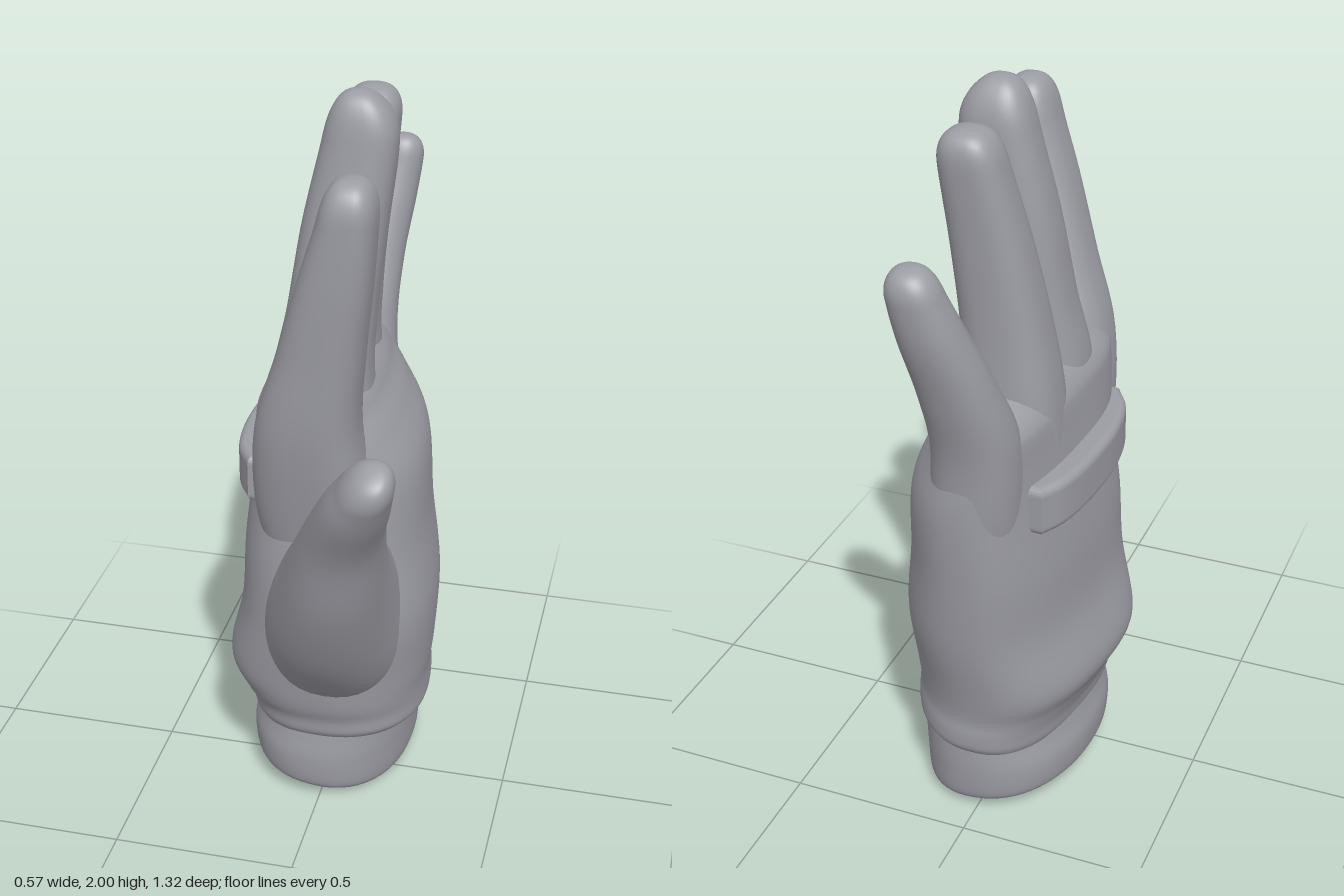
import * as THREE from 'three';

const fabric = new THREE.MeshStandardMaterial({ color: 0x9c9ca4 });
fabric.name = 'grey fabric';

const superCos = (v, n) => Math.sign(v) * Math.abs(v) ** (2 / n);

// Smooth value between control rings (Catmull-Rom on each column)
function sample(rings, u) {
  const last = rings.length - 1;
  const i = Math.min(Math.floor(u), last - 1), t = u - i;
  const p0 = rings[Math.max(i - 1, 0)], p1 = rings[i], p2 = rings[i + 1], p3 = rings[Math.min(i + 2, last)];
  return p1.map((b, k) => {
    const a = p0[k], c = p2[k], d = p3[k];
    return 0.5 * (2 * b + (c - a) * t + (2 * a - 5 * b + 4 * c - d) * t * t + (3 * b - a - 3 * c + d) * t ** 3);
  });
}

// Loft through rings [x, y, z, halfDepthX, halfWidthZ, tilt]; the last span is rounded to a tip.
// taper thins each ring towards -z, shear and bow push its two edges along x.
function loft(name, rings, { power = 2.2, sides = 40, steps = 52, dome = true, taper = 0, shear = 0, bow = 0 } = {}) {
  const last = rings.length - 1;
  const sections = [[rings[0], 0], [rings[0], 1]];
  for (let s = 0; s <= steps; s++) {
    const u = last * (1 - (1 - s / steps) ** 1.7);
    const e = Math.max(0, u - last + 1);
    sections.push([sample(rings, u), dome ? Math.sqrt(Math.max(0, 1 - e * e)) : 1]);
  }
  const pos = [], idx = [];
  sections.forEach(([[x, y, z, a, b, tilt], k], i) => {
    for (let j = 0; j < sides; j++) {
      const th = (j / sides) * Math.PI * 2;
      const v = k * superCos(Math.sin(th), power), w = b * v;
      const depth = a * k * (1 + taper * v) * superCos(Math.cos(th), power);
      pos.push(x + depth + shear * v - bow * v * v, y + w * Math.sin(tilt), z + w * Math.cos(tilt));
      if (i === sections.length - 1) continue;
      const p = i * sides + j, q = i * sides + (j + 1) % sides;
      idx.push(p, p + sides, q, p + sides, q + sides, q);
    }
  });
  const geo = new THREE.BufferGeometry();
  geo.setAttribute('position', new THREE.Float32BufferAttribute(pos, 3));
  geo.setIndex(idx);
  geo.computeVertexNormals();
  const mesh = new THREE.Mesh(geo, fabric);
  mesh.name = name;
  return mesh;
}

export function createModel() {
  const glove = new THREE.Group();
  glove.name = 'glove';

  // Palm and back of the hand, with a gathered fold above the hem
  glove.add(loft('palm', [
    [0.018, 0.225, -0.122, 0.228, 0.322, 0],
    [0.02, 0.245, -0.122, 0.238, 0.333, 0],
    [0.016, 0.285, -0.12, 0.243, 0.337, 0],
    [0.005, 0.335, -0.11, 0.254, 0.345, 0],
    [-0.006, 0.42, -0.11, 0.274, 0.36, 0],
    [0.018, 0.6, -0.115, 0.257, 0.39, 0],
    [0.01, 0.8, -0.13, 0.237, 0.398, 0],
    [0.011, 1.0, -0.147, 0.215, 0.397, 0],
    [-0.013, 1.12, -0.14, 0.178, 0.4, 0],
    [-0.035, 1.2, -0.135, 0.147, 0.39, 0],
    [-0.04, 1.29, -0.13, 0.125, 0.36, 0],
  ], { power: 2.35, sides: 72, steps: 80, taper: 0.15, bow: 0.02 }));

  // Fingers, rooted inside the palm
  glove.add(loft('indexFinger', [
    [0.01, 0.7, 0.12, 0.13, 0.1, 0],
    [-0.01, 0.95, 0.165, 0.155, 0.108, 0],
    [-0.02, 1.2, 0.197, 0.135, 0.118, 0],
    [0.02, 1.42, 0.222, 0.11, 0.104, 0],
    [0.06, 1.62, 0.243, 0.092, 0.091, 0],
    [0.092, 1.79, 0.25, 0.072, 0.083, 0],
    [0.1, 1.89, 0.25, 0.065, 0.08, 0],
  ], { power: 2.7 }));
  glove.add(loft('middleFinger', [
    [-0.02, 0.95, -0.03, 0.16, 0.12, 0],
    [-0.035, 1.22, -0.025, 0.135, 0.12, 0],
    [-0.015, 1.42, -0.045, 0.117, 0.11, 0],
    [0.014, 1.65, -0.065, 0.11, 0.097, 0],
    [0.05, 1.88, -0.08, 0.095, 0.08, 0],
    [0.045, 1.998, -0.075, 0.07, 0.066, 0],
  ], { power: 2.6 }));
  glove.add(loft('ringFinger', [
    [-0.03, 0.95, -0.23, 0.16, 0.12, 0],
    [-0.05, 1.22, -0.235, 0.125, 0.116, 0],
    [-0.035, 1.42, -0.243, 0.11, 0.104, 0],
    [-0.005, 1.65, -0.265, 0.096, 0.09, 0],
    [0.028, 1.86, -0.293, 0.08, 0.077, 0],
    [0.035, 1.945, -0.3, 0.068, 0.072, 0],
  ], { power: 2.6 }));
  glove.add(loft('littleFinger', [
    [0, 0.75, -0.37, 0.1, 0.1, 0],
    [-0.02, 0.95, -0.41, 0.118, 0.115, 0],
    [-0.035, 1.2, -0.45, 0.11, 0.102, 0.15],
    [-0.015, 1.38, -0.515, 0.094, 0.082, 0.3],
    [0.02, 1.54, -0.57, 0.08, 0.072, 0.3],
    [0.046, 1.65, -0.597, 0.067, 0.061, 0.25],
    [0.056, 1.715, -0.605, 0.058, 0.056, 0.2],
  ]));

  // Thumb, sweeping out from the heel of the palm
  glove.add(loft('thumb', [
    [0.02, 0.43, 0.01, 0.19, 0.19, -0.6],
    [0.03, 0.55, 0.1, 0.192, 0.215, -0.58],
    [0.045, 0.7, 0.21, 0.174, 0.222, -0.52],
    [0.085, 0.875, 0.352, 0.134, 0.17, -0.45],
    [0.13, 1.05, 0.452, 0.103, 0.122, -0.32],
    [0.18, 1.185, 0.545, 0.085, 0.093, -0.4],
    [0.213, 1.26, 0.59, 0.068, 0.078, -0.48],
    [0.238, 1.318, 0.622, 0.058, 0.068, -0.5],
  ]));

  // Wrist cuff, its lower edge rising towards the back of the hand
  const cuff = loft('cuff', [
    [-0.01, 0, -0.11, 0.2, 0.288, 0],
    [-0.01, 0.03, -0.11, 0.22, 0.312, 0],
    [-0.01, 0.12, -0.11, 0.225, 0.32, 0],
    [-0.002, 0.2, -0.113, 0.219, 0.316, 0],
    [0.005, 0.27, -0.115, 0.215, 0.31, 0],
  ], { power: 2.25, sides: 64, dome: false, shear: -0.015 });
  const p = cuff.geometry.attributes.position;
  for (let i = 0; i < p.count; i++) {
    const rise = 0.055 * THREE.MathUtils.clamp((0.2 - p.getX(i)) / 0.4, 0, 1);
    p.setY(i, p.getY(i) + rise * (1 - p.getY(i) / 0.27));
  }
  cuff.geometry.computeVertexNormals();
  glove.add(cuff);

  // Raised strap curving across the knuckles
  const outline = new THREE.Shape();
  outline.moveTo(-0.1, -0.15);
  outline.lineTo(-0.18, -0.155);
  outline.splineThru([[-0.22, -0.08], [-0.238, 0.05], [-0.232, 0.2], [-0.212, 0.32], [-0.18, 0.39]]
    .map(([x, y]) => new THREE.Vector2(x, y)));
  outline.lineTo(-0.08, 0.385);
  outline.closePath();
  const strapGeo = new THREE.ExtrudeGeometry(outline, {
    depth: 0.09, bevelEnabled: true, bevelSize: 0.02, bevelThickness: 0.022, bevelSegments: 5, curveSegments: 24,
  });
  strapGeo.rotateX(-Math.PI / 2).translate(0, 0.96, 0);
  const strap = new THREE.Mesh(strapGeo, fabric);
  strap.name = 'knuckleStrap';
  glove.add(strap);

  return glove;
}
